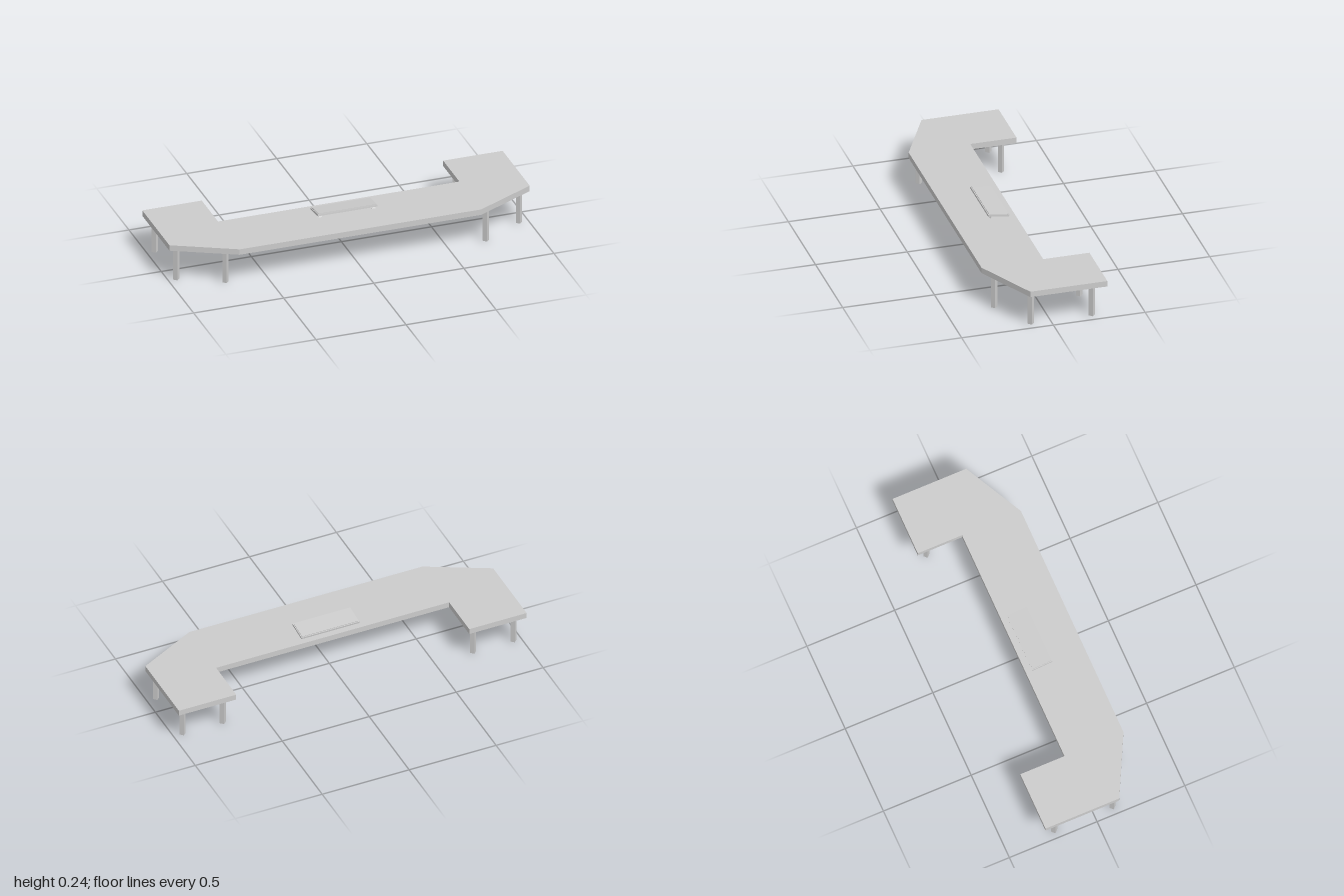
import * as THREE from 'three';

const material = new THREE.MeshStandardMaterial({ color: 0xcccccc, flatShading: true });

function add(parent, name, geometry, x = 0, y = 0, z = 0) {
  const mesh = new THREE.Mesh(geometry, material);
  mesh.name = name;
  mesh.position.set(x, y, z);
  parent.add(mesh);
  return mesh;
}

export function createModel() {
  const desk = new THREE.Group();
  desk.name = 'desk';
  const underside = 0.184, topY = 0.216;

  // U-shaped top with clipped front corners; half outline as [x, z], mirrored
  const half = [[0.67, 0.294], [1, 0.126], [1, -0.294], [0.67, -0.294], [0.67, -0.042]];
  const outline = [...half, ...half.map(([x, z]) => [-x, z]).reverse()];
  const shape = new THREE.Shape(outline.map(([x, z]) => new THREE.Vector2(x, -z)));
  const top = new THREE.ExtrudeGeometry(shape, { depth: topY - underside, bevelEnabled: false });
  top.rotateX(-Math.PI / 2);
  add(desk, 'deskTop', top, 0, underside, 0);

  // Four-sided legs set corner-on, four under each wing
  const legGeometry = new THREE.CylinderGeometry(0.0175, 0.0175, underside, 4);
  const legs = [
    [0.716, 0.239], [0.947, 0.107], [0.947, -0.225], [0.716, -0.225],
    [-0.723, 0.223], [-0.955, 0.107], [-0.955, -0.225], [-0.723, -0.225],
  ];
  for (const [x, z] of legs) add(desk, 'leg', legGeometry, x, underside / 2, z);

  // Keyboard, raised towards the front
  const keyboard = new THREE.Group();
  keyboard.name = 'keyboard';
  keyboard.position.set(-0.003, 0.2287, 0.0495);
  keyboard.rotation.x = -0.125;
  add(keyboard, 'keyboardBase', new THREE.BoxGeometry(0.332, 0.0095, 0.115));
  add(keyboard, 'keyPanel', new THREE.BoxGeometry(0.322, 0.005, 0.105), 0, 0.0055, 0);
  desk.add(keyboard);

  // Small slanted feet under the raised edge
  for (const side of [-1, 1]) {
    const foot = add(desk, 'keyboardFoot', new THREE.BoxGeometry(0.02, 0.016, 0.004),
      -0.003 + side * 0.148, 0.2225, 0.09);
    foot.rotation.x = -0.45;
  }
  return desk;
}
